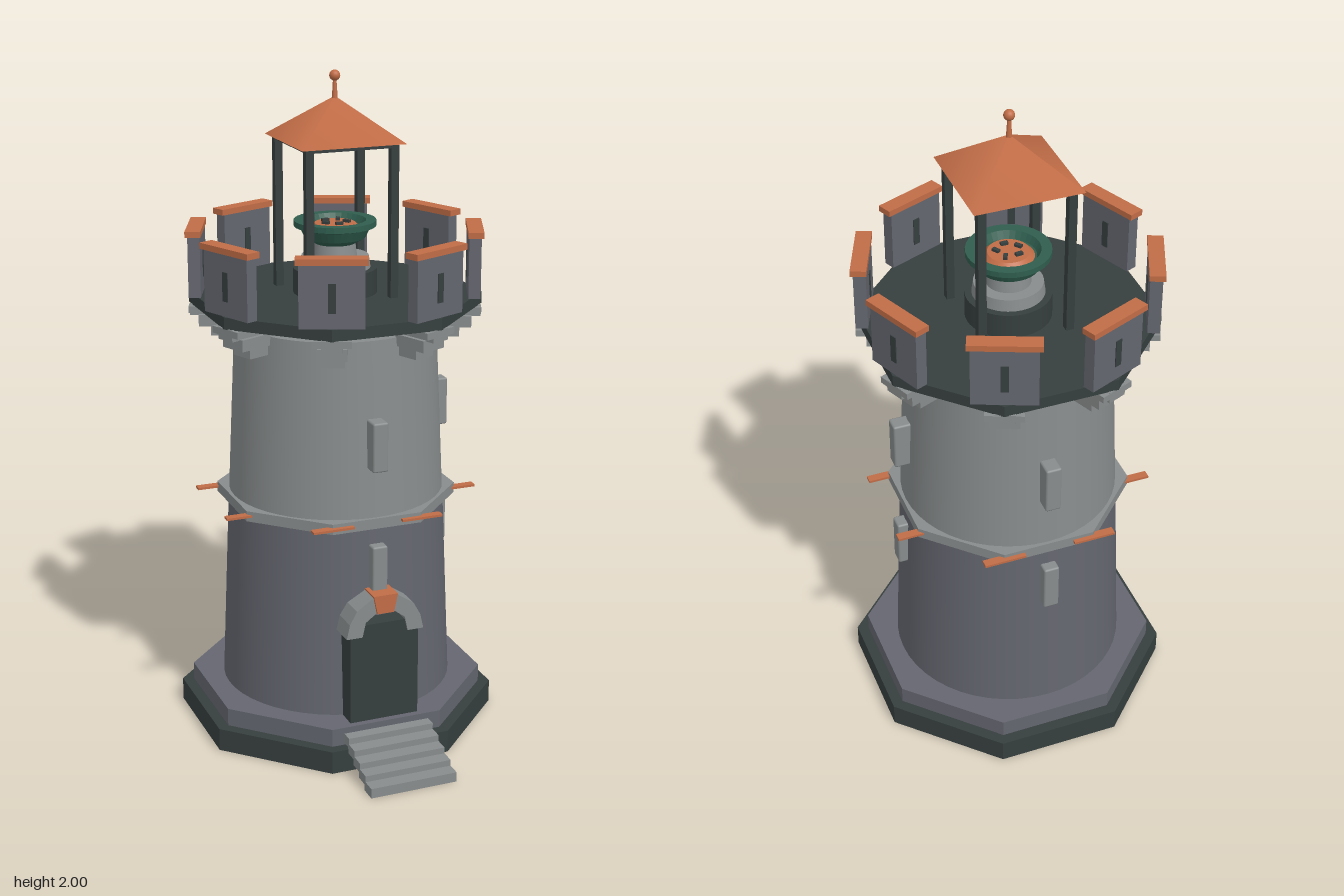
import * as THREE from 'three';
import { RoundedBoxGeometry } from 'three/addons/geometries/RoundedBoxGeometry.js';

const mat = (name, color, side = THREE.FrontSide) => {
  const m = new THREE.MeshStandardMaterial({ color, side });
  m.name = name;
  return m;
};

export function createModel() {
  const dark = mat('dark stone', 0x363e3e);
  const slate = mat('slate stone', 0x64666f);
  const light = mat('light stone', 0x888c8c);
  const orange = mat('terracotta', 0xc06c46);
  const green = mat('green bronze', 0x2f5d4e, THREE.DoubleSide);

  const root = new THREE.Group();
  root.name = 'watchtower';
  const tower = new THREE.Group();
  tower.name = 'tower';
  tower.position.z = -0.09;
  root.add(tower);

  const add = (parent, name, geo, material, x = 0, y = 0, z = 0) => {
    const m = new THREE.Mesh(geo, material);
    m.name = name;
    m.position.set(x, y, z);
    parent.add(m);
    return m;
  };
  const box = (parent, name, w, h, d, material, x, y, z) =>
    add(parent, name, new THREE.BoxGeometry(w, h, d), material, x, y, z);
  // Octagonal slab with flats on the axes, given by its apothem
  const octagon = (name, apothem, y0, y1, material) => {
    const r = apothem / Math.cos(Math.PI / 8);
    const g = new THREE.CylinderGeometry(r, r, y1 - y0, 8).rotateY(Math.PI / 8).toNonIndexed();
    g.computeVertexNormals();
    return add(tower, name, g, material, 0, (y0 + y1) / 2, 0);
  };
  const drum = (name, rTop, rBottom, y0, y1, material) =>
    add(tower, name, new THREE.CylinderGeometry(rTop, rBottom, y1 - y0, 48), material, 0, (y0 + y1) / 2, 0);

  // Base and shaft
  octagon('foundation', 0.45, 0, 0.07, dark);
  octagon('plinth', 0.417, 0.07, 0.125, slate);
  drum('lowerShaft', 0.329, 0.354, 0.125, 0.71, slate);
  drum('upperShaft', 0.302, 0.328, 0.71, 1.27, light);
  octagon('belt', 0.336, 0.708, 0.74, light);
  octagon('galleryDeck', 0.403, 1.31, 1.345, dark);

  // Flat tiles at the belt corners, all lying the same way
  for (let i = 0; i < 8; i++) {
    const a = Math.PI / 8 + (i * Math.PI) / 4;
    box(tower, 'beltTile', 0.127, 0.007, 0.026, orange, Math.sin(a) * 0.365, 0.726, Math.cos(a) * 0.365);
  }

  // Window blocks on the front, left and back
  for (const turn of [0, 1, 2]) {
    const side = new THREE.Group();
    side.name = 'windowColumn';
    side.rotation.y = (turn * Math.PI) / 2;
    tower.add(side);
    for (const y of [0.585, 0.965])
      add(side, 'window', new RoundedBoxGeometry(0.048, 0.15, 0.06, 1, 0.006), light, 0, y, 0.333);
  }

  // Door with a stone arch and keystone
  box(tower, 'door', 0.216, 0.31, 0.1, dark, 0, 0.28, 0.347);
  const stone = (name, points, depth, material) => {
    const shape = new THREE.Shape(points.map(([x, y]) => new THREE.Vector2(x, y)));
    add(tower, name, new THREE.ExtrudeGeometry(shape, { depth, bevelEnabled: false }), material, 0, 0, 0.3);
  };
  for (const s of [-1, 1])
    stone('archStone', [[0.122, 0.4], [0.112, 0.445], [0.09, 0.485], [0.038, 0.52],
      [0.028, 0.47], [0.062, 0.445], [0.072, 0.4]].map(([x, y]) => [s * x, y]), 0.102, light);
  stone('keystone', [[-0.026, 0.468], [0.026, 0.468], [0.038, 0.525], [-0.038, 0.525]], 0.106, orange);

  // Entrance steps
  for (let i = 0; i < 5; i++)
    box(tower, 'step', 0.27, 0.03, 0.053, light, 0, 0.015 + i * 0.019, 0.6 - i * 0.0435);

  // Corbels and merlons around the gallery
  for (let i = 0; i < 8; i++) {
    const bay = new THREE.Group();
    bay.name = 'galleryBay';
    bay.rotation.y = Math.PI / 8 + (i * Math.PI) / 4;
    tower.add(bay);
    box(bay, 'corbelFoot', 0.07, 0.03, 0.08, light, 0, 1.23, 0.33);
    box(bay, 'corbelMiddle', 0.085, 0.035, 0.11, light, 0, 1.262, 0.35);
    box(bay, 'corbelHead', 0.06, 0.035, 0.13, light, 0, 1.294, 0.367);
    box(bay, 'corbelCap', 0.11, 0.02, 0.05, light, 0, 1.3, 0.408);
    box(bay, 'merlon', 0.185, 0.185, 0.036, slate, 0, 1.4375, 0.41);
    box(bay, 'arrowSlit', 0.022, 0.085, 0.041, dark, 0, 1.432, 0.41);
    box(bay, 'merlonCap', 0.204, 0.018, 0.046, orange, 0, 1.536, 0.412);
  }

  // Fire bowl on a stepped pedestal
  drum('pedestalBase', 0.125, 0.125, 1.345, 1.42, dark);
  drum('pedestalTier', 0.1, 0.105, 1.42, 1.455, light);
  drum('pedestalNeck', 0.06, 0.065, 1.455, 1.496, light);
  const bowl = [[0, 1.493], [0.06, 1.493], [0.09, 1.51], [0.105, 1.54], [0.122, 1.545],
    [0.122, 1.562], [0.092, 1.562], [0.08, 1.54], [0, 1.53]].map(([x, y]) => new THREE.Vector2(x, y));
  const bowlGeo = new THREE.LatheGeometry(bowl, 32).toNonIndexed();
  bowlGeo.computeVertexNormals();
  add(tower, 'fireBowl', bowlGeo, green);
  drum('embers', 0.06, 0.078, 1.535, 1.553, orange);
  for (let i = 0; i < 5; i++) {
    const a = (i * Math.PI * 2) / 5;
    const coal = box(tower, 'coal', 0.022, 0.012, 0.012, dark, Math.sin(a) * 0.035, 1.555, Math.cos(a) * 0.035);
    coal.rotation.y = a * 1.7;
  }

  // Canopy: four posts, hipped roof and finial
  for (const x of [-0.131, 0.131])
    for (const z of [-0.131, 0.131])
      box(tower, 'canopyPost', 0.024, 0.455, 0.024, dark, x, 1.5725, z);
  for (const s of [-0.131, 0.131]) {
    box(tower, 'canopyBeam', 0.262, 0.012, 0.02, dark, 0, 1.794, s);
    box(tower, 'canopyBeam', 0.02, 0.012, 0.262, dark, s, 1.794, 0);
  }
  add(tower, 'roof', new THREE.ConeGeometry(0.226, 0.125, 4).rotateY(Math.PI / 4), orange, 0, 1.8625, 0);
  drum('finialRod', 0.005, 0.009, 1.91, 1.975, orange);
  add(tower, 'finialBall', new THREE.SphereGeometry(0.016, 16, 12), orange, 0, 1.984, 0);

  return root;
}
